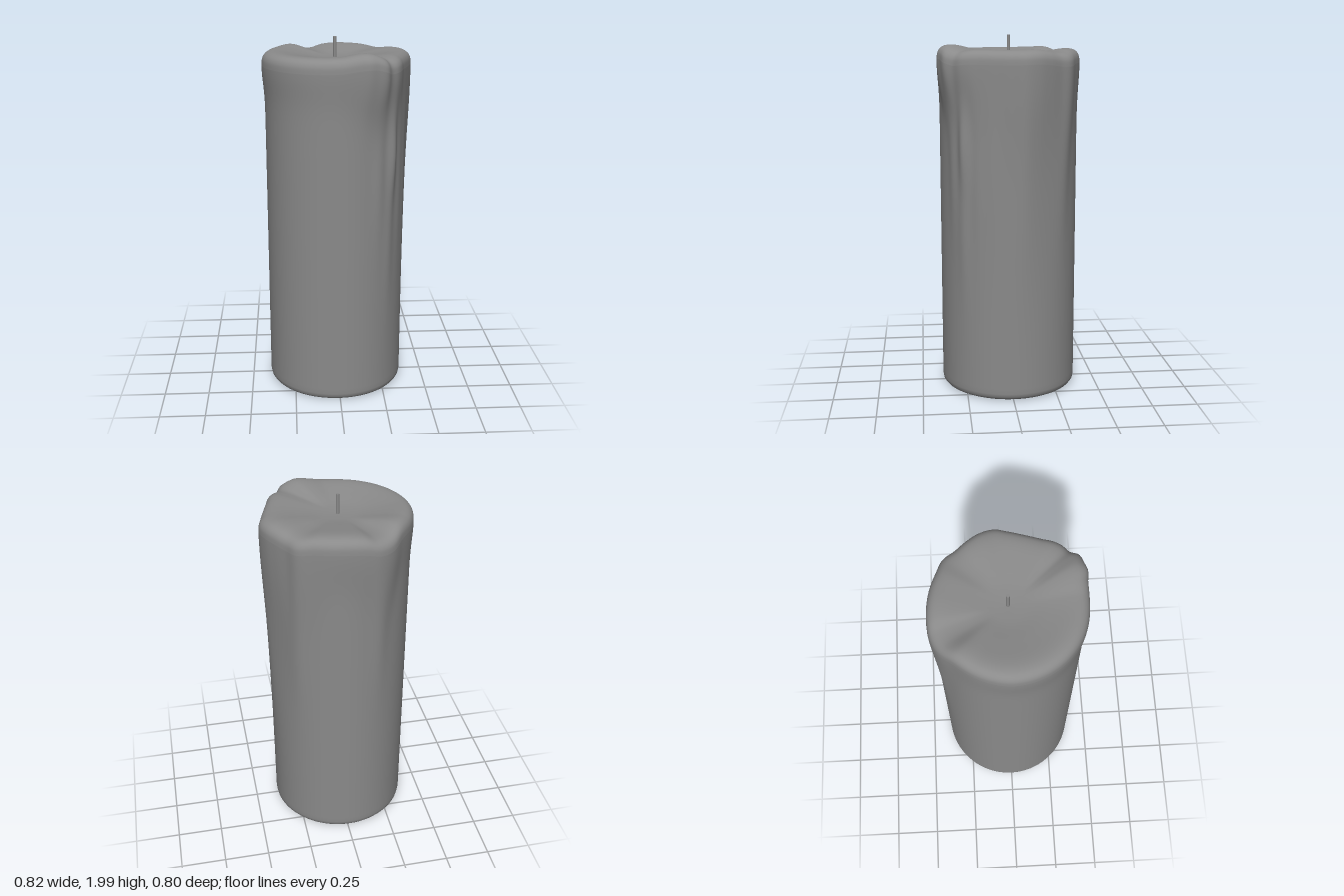
import * as THREE from 'three';
import { mergeVertices } from 'three/addons/utils/BufferGeometryUtils.js';

const R = 0.383;      // plain body radius
const LIP_Y = 1.85;   // height of the widest part of the rim

// Rim by angle (from +x towards +z): [degrees, bulge, length of the run below it, rise of the rim]
const RIM = [
  [-180, 0.015, 0.13, 0], [-153, 0.008, 0.13, 0.004], [-135, 0.009, 0.15, 0.006],
  [-121, 0.026, 0.30, -0.024], [-110, 0.029, 0.35, -0.026], [-100, 0.021, 0.25, -0.008],
  [-88, 0.014, 0.18, 0], [-75, 0.012, 0.18, 0], [-61, 0.015, 0.30, -0.004],
  [-49, 0.031, 0.45, -0.016], [-39, 0.021, 0.50, -0.015], [-28, 0.027, 0.45, -0.005],
  [-18, 0.037, 0.45, 0], [-7, 0.040, 0.50, -0.002], [2, 0.023, 0.45, -0.004],
  [14, 0.011, 0.30, -0.004], [27, 0.015, 0.25, -0.002], [36, 0.033, 0.22, -0.002],
  [42, 0.042, 0.22, -0.006], [49, 0.042, 0.22, -0.009], [55, 0.061, 0.20, 0.006],
  [62, 0.051, 0.22, 0.022], [68, 0.046, 0.20, 0.024], [75, 0.025, 0.18, 0.018],
  [88, 0.013, 0.14, 0.004], [118, 0.012, 0.13, 0], [180, 0.015, 0.13, 0],
];

// Wax runs on the side: [degrees, width in degrees, bulge, middle height, half length]
const RUNS = [
  [42, 5, 0.024, 1.42, 0.22], [44, 6, 0.010, 1.05, 0.40], [55, 6, 0.011, 1.35, 0.40],
  [30, 6, 0.007, 1.25, 0.40], [18, 7, 0.006, 1.30, 0.40],
  [-8, 13, 0.010, 1.10, 0.45], [-45, 8, 0.006, 1.25, 0.35], [-114, 7, 0.007, 1.35, 0.35],
];

// Smooth lookup of the rim values at any angle (cubic through the rows)
function rimAt(deg) {
  let i = 0;
  while (i < RIM.length - 2 && deg > RIM[i + 1][0]) i++;
  const a = RIM[i], b = RIM[i + 1];
  const before = RIM[Math.max(i - 1, 0)], after = RIM[Math.min(i + 2, RIM.length - 1)];
  const span = b[0] - a[0], t = (deg - a[0]) / span, u = 1 - t;
  return [1, 2, 3].map(k => {
    const ma = span * (b[k] - before[k]) / (b[0] - before[0]);
    const mb = span * (after[k] - a[k]) / (after[0] - a[0]);
    return u * u * (1 + 2 * t) * a[k] + t * u * u * ma + t * t * (3 - 2 * t) * b[k] - t * t * u * mb;
  });
}

const bell = x => Math.exp(-x * x);

function waxGeometry() {
  // Profile: base with a rounded edge, straight side, rounded rim, shallow pool
  const profile = [[0, 0.008], [0.2, 0.008], [0.335, 0.008], [0.355, 0.011], [0.37, 0.019], [0.38, 0.032]]
    .map(p => new THREE.Vector2(...p));
  for (let i = 0; i <= 60; i++) profile.push(new THREE.Vector2(R, 0.05 + (LIP_Y - 0.05) * i / 60));
  const top = new THREE.SplineCurve([
    [R, LIP_Y], [0.379, 1.886], [0.365, 1.911], [0.338, 1.925], [0.29, 1.926],
    [0.2, 1.912], [0.1, 1.896], [0, 1.89],
  ].map(p => new THREE.Vector2(...p)));
  profile.push(...top.getPoints(48).slice(1));
  profile[profile.length - 1].x = 0;

  const geo = new THREE.LatheGeometry(profile, 220);
  const pos = geo.attributes.position;
  for (let i = 0; i < pos.count; i++) {
    const x = pos.getX(i), y = pos.getY(i), z = pos.getZ(i);
    const r = Math.hypot(x, z), deg = THREE.MathUtils.radToDeg(Math.atan2(z, x));
    const [bulge, run, rise] = rimAt(deg);
    // Bulge fades down the side and towards the middle of the pool
    const below = Math.max(0, LIP_Y - y);
    let grow = bulge * bell(below / run);
    for (const [d, w, amount, mid, half] of RUNS) {
      grow += amount * bell((deg - d) / w) * bell((y - mid) / half) * (1 - bell(below / 0.15));
    }
    const s = 1 + grow / R * Math.min(1, (r / R) ** 2);
    const lift = rise * THREE.MathUtils.smoothstep(y, 1.68, 1.88) * THREE.MathUtils.smoothstep(r, 0.08, 0.36);
    pos.setXYZ(i, x * s, y + lift, z * s);
  }
  // Weld the seam for smooth normals
  geo.deleteAttribute('uv');
  geo.deleteAttribute('normal');
  const welded = mergeVertices(geo, 1e-5);
  welded.computeVertexNormals();
  return welded;
}

export function createModel() {
  const group = new THREE.Group();
  group.name = 'candle';
  const material = new THREE.MeshStandardMaterial({ color: 0x8a8a8a });

  const wax = new THREE.Mesh(waxGeometry(), material);
  wax.name = 'waxBody';
  wax.position.set(-0.011, 0, -0.003);

  const wick = new THREE.Mesh(new THREE.CylinderGeometry(0.009, 0.009, 0.13, 20), material);
  wick.name = 'wick';
  wick.position.set(-0.011, 1.935, -0.005);

  group.add(wax, wick);
  return group;
}
